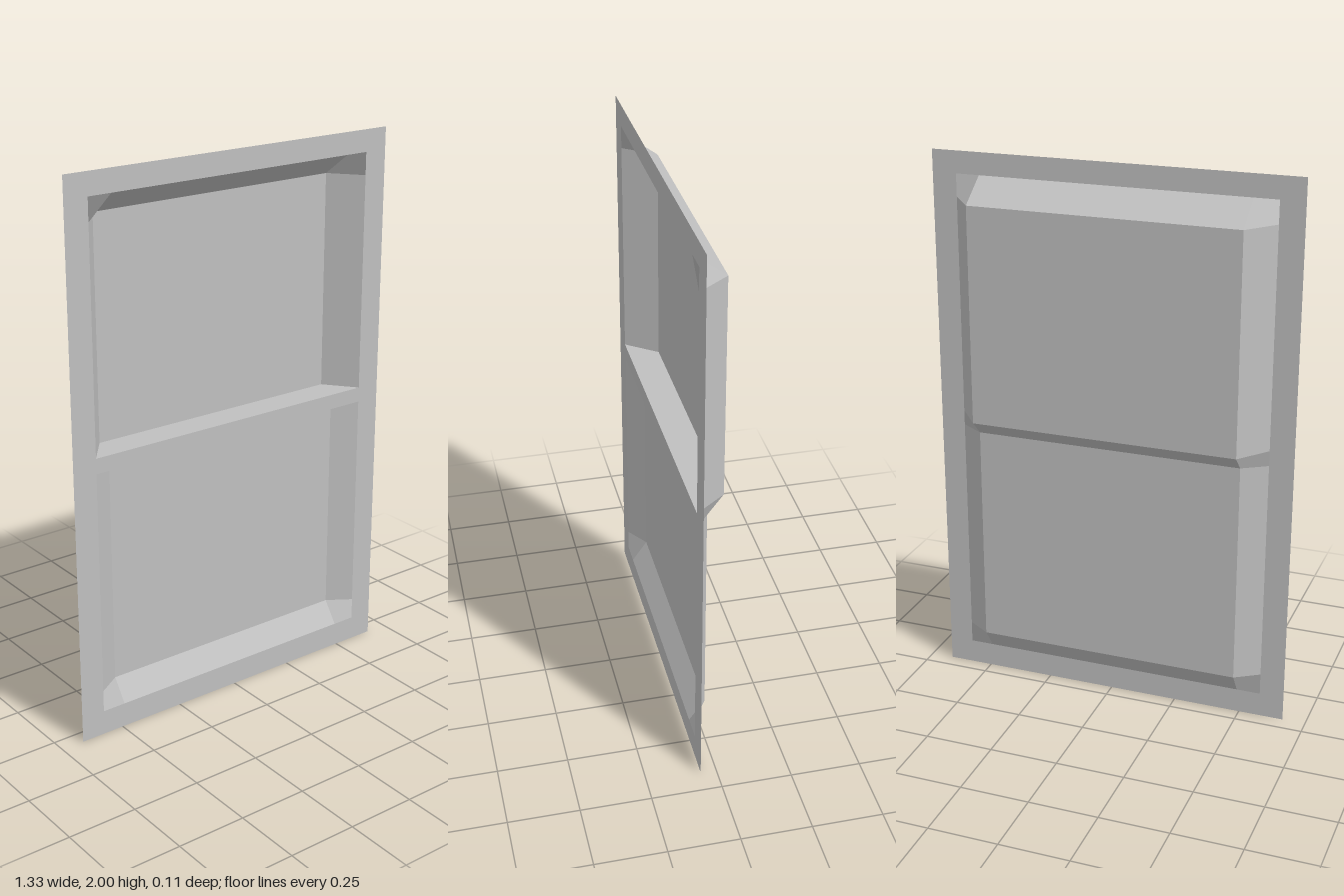
import * as THREE from 'three';

// Key depths (z), half widths (x) and heights (y)
const FRONT = 0.056, MID = 0, BACK = -0.056;
const OUT = 0.577, IN = 0.49;
const TOP = 1.92, TOP_IN = 1.838, SHELF = 1.045, LIP = 0.99, LOW_IN = 0.17, LOW = 0.09;

// Flat-shaded quads, corners counter-clockwise from the front, split from b to d
function quads(list) {
  const pos = [], nor = [];
  for (const q of list) {
    const [a, b, c, d] = q.map(p => new THREE.Vector3(...p));
    const n = c.clone().sub(a).cross(d.clone().sub(b)).normalize();
    for (const v of [a, b, d, b, c, d]) {
      pos.push(v.x, v.y, v.z);
      nor.push(n.x, n.y, n.z);
    }
  }
  const g = new THREE.BufferGeometry();
  g.setAttribute('position', new THREE.Float32BufferAttribute(pos, 3));
  g.setAttribute('normal', new THREE.Float32BufferAttribute(nor, 3));
  return g;
}

// A quad symmetric about x = 0, between a lower edge and an upper edge
const span = (x0, y0, z0, x1, y1, z1) => [[-x0, y0, z0], [x0, y0, z0], [x1, y1, z1], [-x1, y1, z1]];

// A quad and its mirror image (order kept so the split stays on the same diagonal)
const both = q => {
  const [a, b, c, d] = q.map(([x, y, z]) => [-x, y, z]);
  return [q, [a, d, c, b]];
};

// Sloping side wall running from y0 to y1
const side = (y0, y1, z0, z1 = z0) => both([[IN, y0, z0], [OUT, y0, FRONT], [OUT, y1, FRONT], [IN, y1, z1]]);

function rect(Type, w, y0, y1) {
  const s = new Type();
  s.moveTo(-w, y0);
  s.lineTo(w, y0);
  s.lineTo(w, y1);
  s.lineTo(-w, y1);
  s.closePath();
  return s;
}

export function createModel() {
  const model = new THREE.Group();
  model.name = 'recessedPanel';
  const grey = new THREE.MeshStandardMaterial({ color: 0xc0c0c0, side: THREE.DoubleSide });
  grey.name = 'plain grey';
  const add = (name, geometry) => {
    const m = new THREE.Mesh(geometry, grey);
    m.name = name;
    model.add(m);
    return m;
  };

  // Flat border with the two openings and the crossbar between them
  const border = rect(THREE.Shape, 0.666, 0, 2);
  border.holes.push(rect(THREE.Path, OUT, SHELF, TOP), rect(THREE.Path, OUT, LOW, LIP));
  add('frame', new THREE.ShapeGeometry(border)).position.z = FRONT;

  // Deep upper recess
  add('upperPanel', quads([span(IN, SHELF, BACK, IN, TOP_IN, BACK)]));
  add('upperTopBevel', quads([span(IN, TOP_IN, BACK, IN, TOP, FRONT)]));
  add('upperSideBevels', quads(side(SHELF, TOP_IN, BACK)));
  add('upperCorners', quads(both([
    [IN, TOP_IN, BACK], [OUT, TOP_IN, FRONT], [OUT, TOP, FRONT], [IN, TOP, FRONT]])));
  add('shelf', quads([span(OUT, SHELF, FRONT, IN, SHELF, BACK)]));

  // Sloping step behind the crossbar
  add('backStep', quads([span(IN, LIP, MID, IN, SHELF, BACK)]));
  add('backStepEnds', quads(side(LIP, SHELF, MID, BACK)));

  // Shallow lower recess
  add('crossbarUnderside', quads([span(IN, LIP, MID, OUT, LIP, FRONT)]));
  add('lowerPanel', quads([span(IN, LOW_IN, MID, IN, LIP, MID)]));
  add('lowerSideBevels', quads(side(LOW_IN, LIP, MID)));
  add('lowerBottomBevel', quads([span(IN, LOW, FRONT, IN, LOW_IN, MID)]));
  add('lowerCorners', quads(both([
    [IN, LOW_IN, MID], [IN, LOW, FRONT], [OUT, LOW, FRONT], [OUT, LOW_IN, FRONT]])));

  return model;
}
